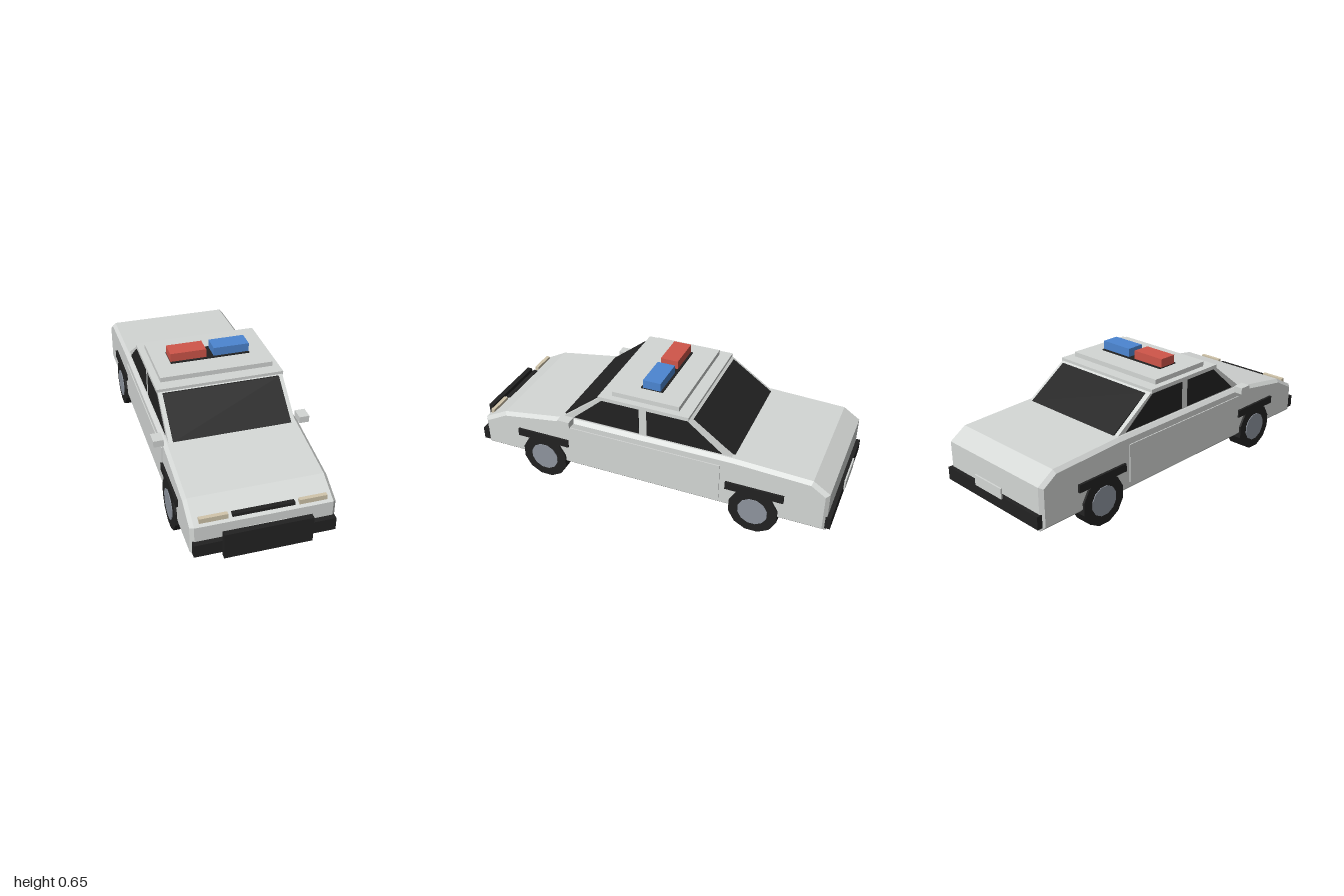
import * as THREE from 'three';

const mat = (name, color) => {
  const m = new THREE.MeshStandardMaterial({ color, flatShading: true });
  m.name = name;
  return m;
};

export function createModel() {
  const car = new THREE.Group();
  car.name = 'patrolCar';
  const paint = mat('silverPaint', 0xd4d7d5);
  const black = mat('blackTrim', 0x222222);
  const red = mat('redBeacon', 0xd0564a);
  const blue = mat('blueBeacon', 0x4c86d2);
  const lamp = mat('headlightCream', 0xd2c6ac);
  const steel = mat('wheelSteel', 0x8e949e);

  const add = (name, geo, material) => {
    const mesh = new THREE.Mesh(geo, material);
    mesh.name = name;
    car.add(mesh);
    return mesh;
  };
  // box given by its limits on each axis
  const box = (name, material, [x0, x1], [y0, y1], [z0, z1]) => {
    const mesh = add(name, new THREE.BoxGeometry(x1 - x0, y1 - y0, z1 - z0), material);
    mesh.position.set((x0 + x1) / 2, (y0 + y1) / 2, (z0 + z1) / 2);
    return mesh;
  };
  // side profile of [z, y] points, extruded across the car and centred at x
  const profile = (name, material, points, width, x = 0, bevel = 0) => {
    const shape = new THREE.Shape(points.map(([z, y]) => new THREE.Vector2(z, y)));
    const geo = new THREE.ExtrudeGeometry(shape, {
      depth: width - 2 * bevel, bevelEnabled: bevel > 0, bevelSegments: 1,
      bevelSize: bevel, bevelThickness: bevel, bevelOffset: -bevel,
    });
    geo.translate(0, 0, bevel - width / 2);
    geo.rotateY(-Math.PI / 2);
    geo.translate(x, 0, 0);
    return add(name, geo, material);
  };

  // lower body with chamfered sides
  profile('body', paint, [
    [0.935, 0.107], [0.935, 0.272], [0.805, 0.34], [0.42, 0.4],
    [-0.48, 0.403], [-0.88, 0.386], [-0.967, 0.328], [-0.967, 0.107],
  ], 0.7, 0, 0.018);

  // cabin and stepped roof
  profile('cabin', paint, [[0.46, 0.39], [0.245, 0.56], [-0.245, 0.56], [-0.49, 0.39]], 0.65);
  box('roof', paint, [-0.33, 0.33], [0.555, 0.575], [-0.245, 0.245]);
  box('roofPanel', paint, [-0.295, 0.295], [0.575, 0.6], [-0.182, 0.18]);

  // sloping front and rear glass
  profile('windshield', black, [[0.45, 0.398], [0.456, 0.402], [0.259, 0.557], [0.25, 0.556]], 0.605);
  profile('rearWindow', black, [[-0.47, 0.402], [-0.26, 0.556], [-0.262, 0.557], [-0.482, 0.404]], 0.605);

  // roof light bar
  box('lightBarBase', black, [-0.21, 0.21], [0.6, 0.605], [-0.06, 0.06]);
  box('redLight', red, [-0.21, -0.02], [0.605, 0.65], [-0.048, 0.048]);
  box('blueLight', blue, [0.02, 0.21], [0.605, 0.65], [-0.048, 0.048]);

  // nose and tail details
  box('frontBumper', black, [-0.342, 0.342], [0.126, 0.193], [0.93, 0.962]);
  box('rearBumper', black, [-0.342, 0.342], [0.126, 0.193], [-0.988, -0.96]);
  box('pushBar', black, [-0.212, 0.212], [0.122, 0.258], [0.972, 1]);
  box('grille', black, [-0.15, 0.15], [0.278, 0.297], [0.895, 0.918]);
  box('frontPlate', paint, [-0.1, 0.1], [0.19, 0.245], [0.955, 0.965]);
  box('rearPlate', paint, [-0.1, 0.1], [0.19, 0.245], [-1, -0.992]);

  for (const s of [-1, 1]) {
    const side = s > 0 ? 'left' : 'right';
    const span = (a, b) => (s > 0 ? [a, b] : [-b, -a]);

    // side glass, split by the centre pillar
    profile(side + 'FrontWindow', black,
      [[0.39, 0.407], [0.225, 0.553], [0.022, 0.553], [0.022, 0.407]], 0.006, s * 0.325);
    profile(side + 'RearWindow', black,
      [[-0.02, 0.407], [-0.02, 0.553], [-0.235, 0.553], [-0.42, 0.407]], 0.006, s * 0.325);

    box(side + 'DoorPanel', paint, span(0.34, 0.355), [0.15, 0.352], [-0.42, 0.42]);
    box(side + 'Mirror', paint, span(0.348, 0.4), [0.385, 0.42], [0.383, 0.45]);
    box(side + 'Headlight', lamp, span(0.17, 0.306), [0.274, 0.305], [0.9, 0.92]);

    // wheels, hubs and arch trims
    for (const [end, z] of [['Front', 0.57], ['Rear', -0.602]]) {
      const disc = (name, material, r, width, x, sides) => {
        const geo = new THREE.CylinderGeometry(r, r, width, sides);
        geo.rotateY(Math.PI / sides);
        geo.rotateZ(Math.PI / 2);
        add(side + end + name, geo, material).position.set(s * x, 0.125, z);
      };
      disc('Wheel', black, 0.1294, 0.092, 0.315, 12);
      disc('Hub', steel, 0.078, 0.03, 0.35, 12);
      box(side + end + 'ArchTrim', black, span(0.335, 0.363), [0.225, 0.266], [z - 0.15, z + 0.15]);
    }
  }
  return car;
}
